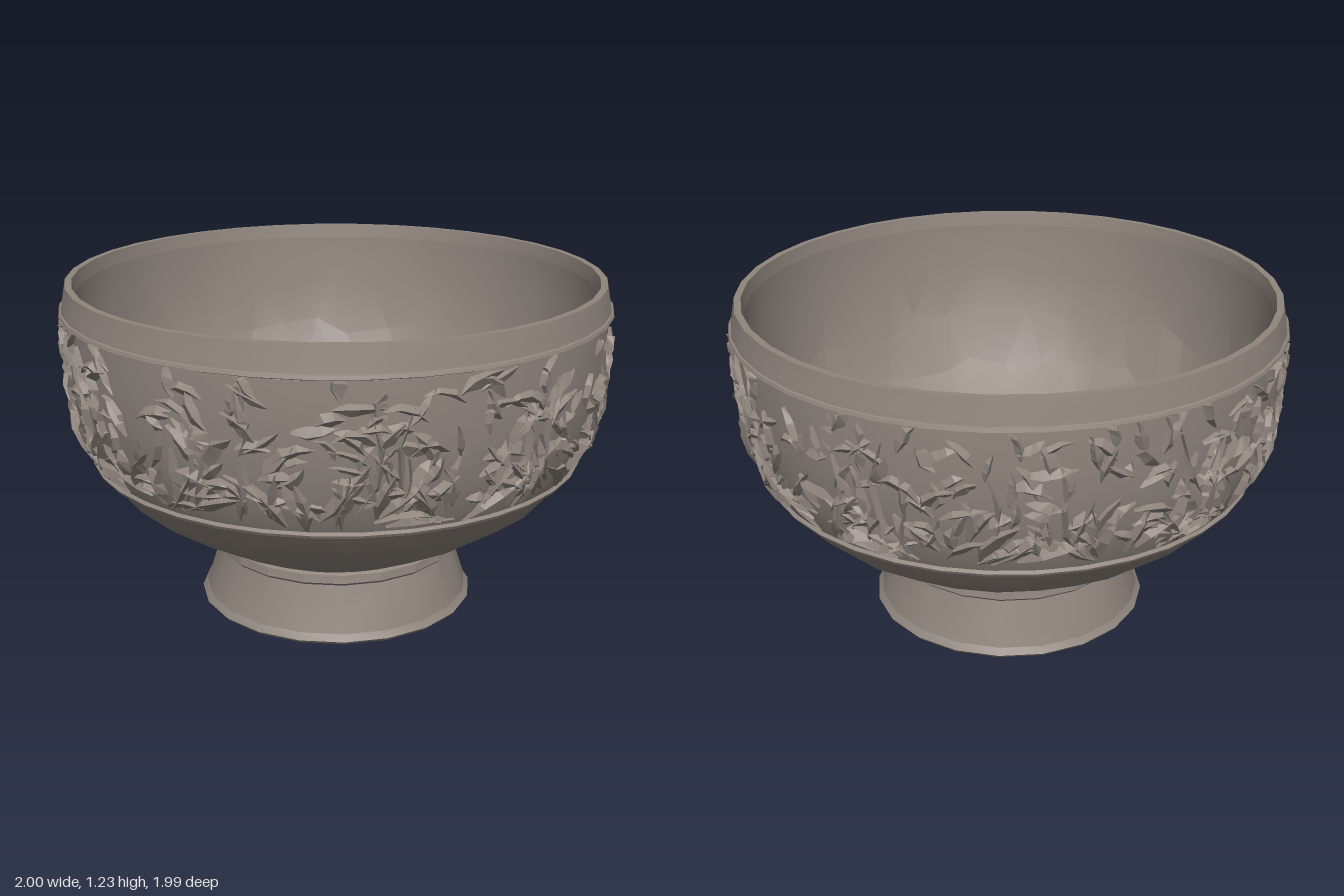
import * as THREE from 'three';
import { toCreasedNormals } from 'three/addons/utils/BufferGeometryUtils.js';

const TAU = Math.PI * 2;
const stone = new THREE.MeshStandardMaterial({ color: 0x8f857d });
stone.name = 'warm grey stone';

// Small seeded generator for the hand-worked irregularity
let seed = 11;
function rand(lo, hi) {
  seed = (seed + 0x6d2b79f5) | 0;
  let t = Math.imul(seed ^ (seed >>> 15), 1 | seed);
  t = (t + Math.imul(t ^ (t >>> 7), 61 | t)) ^ t;
  return lo + (hi - lo) * (((t ^ (t >>> 14)) >>> 0) / 4294967296);
}

function meshFrom(name, triangles, crease) {
  const geometry = new THREE.BufferGeometry();
  geometry.setAttribute('position', new THREE.Float32BufferAttribute(triangles, 3));
  const mesh = new THREE.Mesh(toCreasedNormals(geometry, crease), stone);
  mesh.name = name;
  return mesh;
}

// Revolved [radius, y] profile. With a wobble, inner rings are staggered and
// their points slide along the profile, giving uneven facets.
function turned(name, profile, n, wobble = 0) {
  const last = profile.length - 1;
  const rings = profile.map(([r, y], i) => Array.from({ length: n }, (_, j) => {
    const inner = wobble && i > 0 && i < last && r > 0.35;
    const t = inner ? rand(-wobble, wobble) : 0;
    const next = profile[t < 0 ? i - 1 : Math.min(i + 1, last)];
    const rr = r + (next[0] - r) * Math.abs(t), yy = y + (next[1] - y) * Math.abs(t);
    const a = (j + (wobble && i % 2 ? 0.5 : 0) + (inner ? rand(-0.2, 0.2) : 0)) * TAU / n;
    return [rr * Math.sin(a), yy, rr * Math.cos(a)];
  }));
  const out = [];
  for (let i = 0; i < last; i++) {
    const lower = rings[i], upper = rings[i + 1];
    for (let j = 0; j < n; j++) {
      const k = (j + 1) % n;
      const a = lower[j], b = lower[k], c = upper[j], d = upper[k];
      const [onLower, onUpper] = i % 2 ? [[a, b, d], [a, d, c]] : [[a, b, c], [c, b, d]];
      if (profile[i][0] > 0) out.push(...onLower.flat());
      if (profile[i + 1][0] > 0) out.push(...onUpper.flat());
    }
  }
  return meshFrom(name, out, 0.3);
}

// Ground of the carved band
const band = [[0.885, 0.585], [0.917, 0.65], [0.95, 0.75], [0.97, 0.88], [0.977, 1.0], [0.974, 1.12]];
function bandRadius(y) {
  const i = Math.max(1, band.findIndex((p) => y <= p[1]));
  const [r0, y0] = band[i - 1], [r1, y1] = band[i];
  return r0 + (r1 - r0) * (y - y0) / (y1 - y0);
}

function onBand(u, y, lift) {
  const yy = THREE.MathUtils.clamp(y, 0.59, 1.12);
  const r = Math.min(bandRadius(yy) + lift, 1);
  return [r * Math.sin(u), yy, r * Math.cos(u)];
}

// Curved, angular blade: off-centre ridge, sunken edges, lifted tip
function addLeaf(out, u, y, heading, length, width, bend, height) {
  const widths = [0.3, 1, 0.75, 0.04];
  const lifts = [0.2, 0.85, 1, 0.6];
  const ridge = rand(-0.75, 0.75);
  const rows = widths.map((w, i) => {
    const dir = heading + bend * i / 3;
    if (i) {
      u += Math.cos(dir) * length / 3 / 0.95;
      y += Math.sin(dir) * length / 3;
    }
    const du = -Math.sin(dir) * width * w / 2 / 0.95, dy = Math.cos(dir) * width * w / 2;
    return [
      onBand(u + du, y + dy, -0.01),
      onBand(u + du * ridge, y + dy * ridge, height * lifts[i]),
      onBand(u - du, y - dy, -0.01),
    ];
  });
  for (let i = 0; i < 3; i++) {
    for (let k = 0; k < 2; k++) {
      const a = rows[i][k], b = rows[i][k + 1], c = rows[i + 1][k], d = rows[i + 1][k + 1];
      out.push(...a, ...b, ...c, ...c, ...b, ...d);
    }
  }
}

function carvedFoliage() {
  const out = [];
  const sprays = 22;
  for (let s = 0; s < sprays; s++) {
    const u = s * TAU / sprays + rand(-0.04, 0.04);
    const side = s % 2 ? 1 : -1;
    // Leaves sweeping up from the lower moulding
    for (let k = 0; k < 7; k++) {
      addLeaf(out, u + rand(-0.15, 0.15), 0.595 + rand(0, 0.06), Math.PI / 2 - side * 0.4 + rand(-0.8, 0.8),
        rand(0.14, 0.25), rand(0.04, 0.08), rand(-0.9, 0.9), rand(0.018, 0.032));
    }
    // Slanting stem with a curled end
    addLeaf(out, u, 0.66, Math.PI / 2 - side * 0.9, rand(0.3, 0.42), 0.035, side * 1.2, 0.02);
    // Crowded middle leaves, then looser ones towards the top
    for (let k = 0; k < 20; k++) {
      const t = k / 19;
      addLeaf(out, u + rand(-0.15, 0.15), 0.67 + 0.38 * t ** 1.2, rand(0, Math.PI), rand(0.08, 0.17),
        rand(0.04, 0.075), rand(-1.5, 1.5), rand(0.012, 0.026));
    }
  }
  return meshFrom('carvedLeaves', out, 0.25);
}

export function createModel() {
  seed = 11;
  const bowl = new THREE.Group();
  bowl.name = 'carvedBowl';

  // Flared foot with a collar
  bowl.add(turned('foot', [
    [0, 0], [0.505, 0], [0.515, 0.012], [0.497, 0.035], [0.443, 0.2],
    [0.452, 0.21], [0.448, 0.24], [0.42, 0.255],
  ], 20));

  // Plain underside of the bowl
  bowl.add(turned('bowlUnderside', [
    [0.4, 0.23], [0.46, 0.26], [0.62, 0.345], [0.79, 0.46], [0.885, 0.58],
  ], 28, 0.22));

  // Mouldings above and below the carved band
  bowl.add(turned('lowerMoulding', [[0.875, 0.565], [0.896, 0.577], [0.902, 0.588], [0.885, 0.6]], 36));
  bowl.add(turned('carvedBand', band, 36, 0.15));
  bowl.add(carvedFoliage());
  bowl.add(turned('upperMoulding', [[0.965, 1.118], [0.994, 1.129], [0.99, 1.14], [0.965, 1.15]], 36));

  // Plain rim, turning over to the inside
  bowl.add(turned('rim', [[0.985, 1.135], [0.978, 1.17], [0.966, 1.23], [0.942, 1.23], [0.934, 1.18]], 36));

  // Hollow interior
  bowl.add(turned('interior', [
    [0.934, 1.18], [0.925, 1.02], [0.882, 0.8], [0.785, 0.61], [0.625, 0.45],
    [0.42, 0.33], [0.2, 0.265], [0, 0.245],
  ], 36, 0.22));
  return bowl;
}
